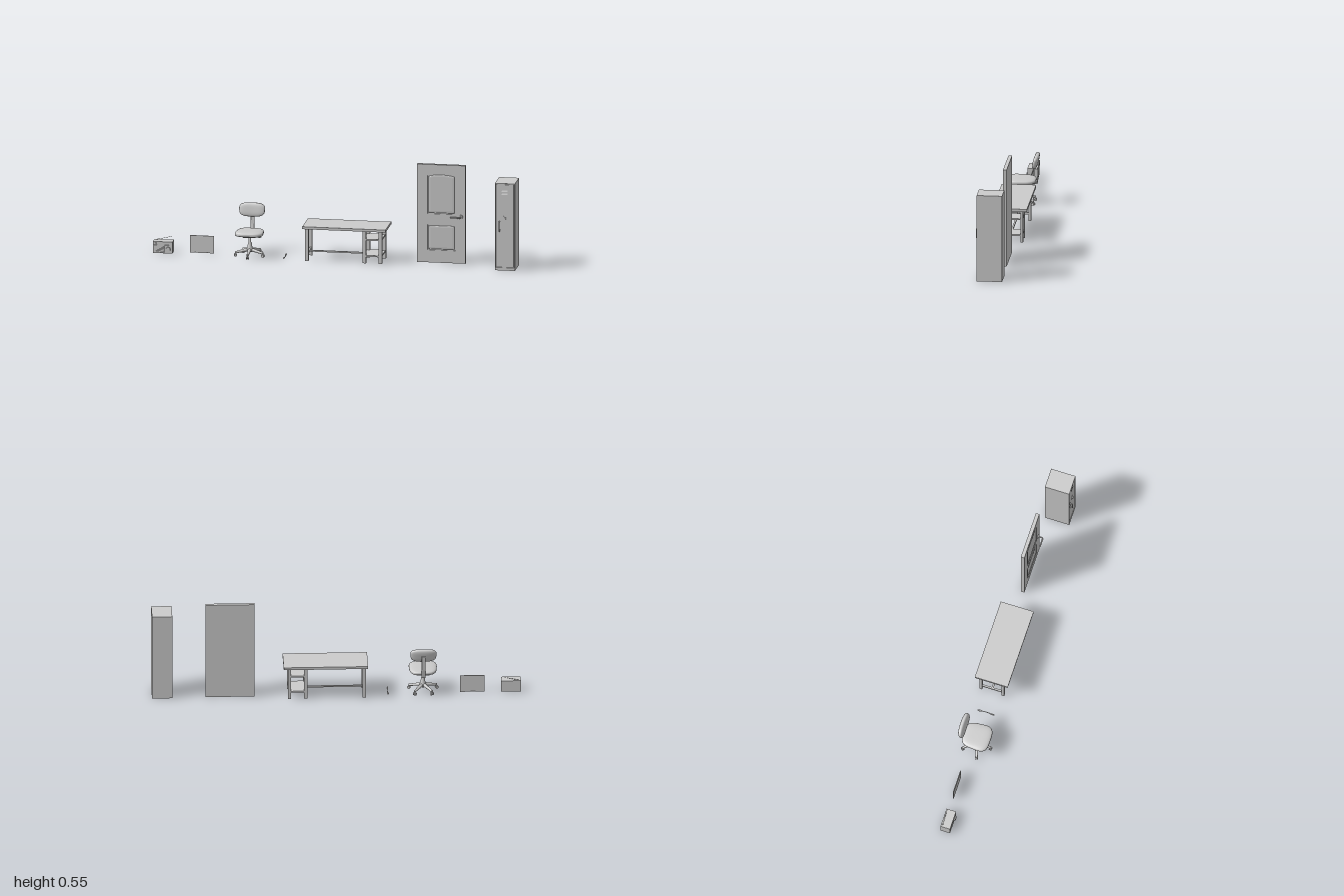
import * as THREE from 'three';
import { RoundedBoxGeometry } from 'three/addons/geometries/RoundedBoxGeometry.js';

const grey = new THREE.MeshStandardMaterial({ color: 0xcccccc });

function add(parent, name, geo, x = 0, y = 0, z = 0) {
  const m = new THREE.Mesh(geo, grey);
  m.name = name;
  m.position.set(x, y, z);
  parent.add(m);
  return m;
}

// Box given by its lower and upper corners
function box(parent, name, [x0, y0, z0], [x1, y1, z1]) {
  return add(parent, name, new THREE.BoxGeometry(x1 - x0, y1 - y0, z1 - z0),
    (x0 + x1) / 2, (y0 + y1) / 2, (z0 + z1) / 2);
}

// Tapered round bar between two points
function bar(parent, name, a, b, ra, rb = ra, sides = 12) {
  const p = new THREE.Vector3(...a), q = new THREE.Vector3(...b), d = q.clone().sub(p);
  const m = add(parent, name, new THREE.CylinderGeometry(rb, ra, d.length(), sides));
  m.position.copy(p).addScaledVector(d, 0.5);
  m.quaternion.setFromUnitVectors(new THREE.Vector3(0, 1, 0), d.normalize());
  return m;
}

function tube(parent, name, pts, r, seg = 20) {
  const curve = new THREE.CatmullRomCurve3(pts.map((p) => new THREE.Vector3(...p)), false, 'catmullrom', 0.2);
  return add(parent, name, new THREE.TubeGeometry(curve, seg, r, 8));
}

// Rectangle outline whose top may rise in an arch
function outline(Type, x0, y0, x1, y1, arch = 0) {
  const s = new Type();
  s.moveTo(x0, y0);
  s.lineTo(x1, y0);
  s.lineTo(x1, y1 - arch);
  if (arch) s.bezierCurveTo(x1 - 0.015, y1, x0 + 0.015, y1, x0, y1 - arch);
  else s.lineTo(x0, y1);
  s.closePath();
  return s;
}

function slab(parent, name, shape, z, depth, bevel = 0) {
  return add(parent, name, new THREE.ExtrudeGeometry(shape, {
    depth, bevelEnabled: bevel > 0, bevelThickness: bevel * 0.3, bevelSize: bevel,
    bevelOffset: -bevel, bevelSegments: 2, curveSegments: 10,
  }), 0, 0, z);
}

// Soft cushion: a sphere squared off, then adjusted by a rule
function cushion(w, h, d, power, rule) {
  const g = new THREE.SphereGeometry(1, 40, 28), p = g.attributes.position;
  const v = new THREE.Vector3();
  for (let i = 0; i < p.count; i++) {
    v.fromBufferAttribute(p, i);
    const n = (Math.abs(v.x) ** power + Math.abs(v.y) ** power + Math.abs(v.z) ** power) ** (1 / power);
    v.divideScalar(n);
    rule(v);
    p.setXYZ(i, v.x * w / 2, v.y * h / 2, v.z * d / 2);
  }
  g.computeVertexNormals();
  return g;
}

function group(parent, name) {
  const g = new THREE.Group();
  g.name = name;
  parent.add(g);
  return g;
}

function buildRadio(root) {
  const g = group(root, 'radio');
  box(g, 'radioCase', [-1, 0, -0.03], [-0.893, 0.064, 0.02]);
  slab(g, 'radioFrontRim', (() => {
    const s = outline(THREE.Shape, -1, 0, -0.893, 0.064);
    s.holes.push(outline(THREE.Path, -0.995, 0.005, -0.935, 0.04),
      outline(THREE.Path, -0.995, 0.045, -0.898, 0.059));
    return s;
  })(), 0.02, 0.004);
  for (let i = 0; i < 5; i++) {
    box(g, 'speakerSlat', [-0.992, 0.009 + i * 0.006, 0.02], [-0.938, 0.012 + i * 0.006, 0.023]);
  }
  bar(g, 'tuningKnob', [-0.916, 0.023, 0.022], [-0.916, 0.023, 0.031], 0.013, 0.012, 24);
  bar(g, 'volumeKnob', [-0.985, 0.052, 0.02], [-0.985, 0.052, 0.027], 0.005, 0.005, 16);
  bar(g, 'antenna', [-0.985, 0.065, -0.022], [-0.903, 0.085, -0.022], 0.0014, 0.0009, 8);
  add(g, 'antennaPivot', new THREE.SphereGeometry(0.003, 10, 8), -0.985, 0.065, -0.022);
}

function buildBoard(root) {
  const g = group(root, 'board');
  box(g, 'boardPanel', [-0.802, 0.001, -0.0225], [-0.674, 0.095, -0.0195]);
  const s = outline(THREE.Shape, -0.804, 0, -0.672, 0.096);
  s.holes.push(outline(THREE.Path, -0.802, 0.002, -0.674, 0.094));
  slab(g, 'boardFrame', s, -0.0235, 0.005);
}

function buildChair(root) {
  const g = group(root, 'officeChair');
  g.position.set(-0.471, 0, 0.004);
  // Seat narrows to the back and has a flat underside
  add(g, 'seat', cushion(0.16, 0.032, 0.152, 3.6, (v) => {
    v.x *= 0.93 + 0.07 * v.z;
    v.y = v.y < 0 ? v.y * 0.8 : v.y + 0.12 * v.y * v.z;
  }), 0, 0.13, 0.002);
  box(g, 'seatPlate', [-0.035, 0.109, -0.045], [0.035, 0.118, 0.035]);
  const back = add(g, 'backrest', cushion(0.145, 0.076, 0.028, 3.2, (v) => {
    v.x *= 0.97 + 0.03 * v.y;
    v.z += 0.3 * v.x * v.x - 0.1;
  }), 0, 0.241, -0.073);
  back.rotation.x = -0.22;
  // Flat bar that carries the backrest
  const arm = [[0.112, -0.02], [0.114, -0.078], [0.16, -0.086], [0.24, -0.091]];
  for (let i = 0; i < 3; i++) {
    const [y0, z0] = arm[i], [y1, z1] = arm[i + 1], len = Math.hypot(y1 - y0, z1 - z0);
    const m = add(g, 'backBar', new RoundedBoxGeometry(0.022, len + 0.007, 0.008, 2, 0.003),
      0, (y0 + y1) / 2, (z0 + z1) / 2);
    m.rotation.x = Math.atan2(z1 - z0, y1 - y0);
  }
  const profile = [[0, 0.024], [0.014, 0.024], [0.018, 0.03], [0.018, 0.043], [0.013, 0.05],
    [0.011, 0.074], [0.007, 0.078], [0.007, 0.112], [0, 0.112]];
  add(g, 'column', new THREE.LatheGeometry(profile.map((p) => new THREE.Vector2(...p)), 24));
  bar(g, 'heightLever', [0.02, 0.11, 0.01], [0.066, 0.107, 0.01], 0.002);
  // Five star legs with twin-wheel casters
  for (let i = 0; i < 5; i++) {
    const leg = group(g, 'starLeg');
    leg.rotation.y = i * Math.PI * 2 / 5;
    bar(leg, 'legArm', [0, 0.037, 0.01], [0, 0.023, 0.08], 0.0095, 0.006);
    bar(leg, 'casterStem', [0, 0.012, 0.079], [0, 0.026, 0.079], 0.003);
    for (const s of [-1, 1]) {
      bar(leg, 'casterWheel', [s * 0.002, 0.009, 0.079], [s * 0.008, 0.009, 0.079], 0.009, 0.008, 16);
    }
  }
}

function buildTool(root) {
  // Small hand tool lying on the floor, head to the back
  const g = group(root, 'handTool');
  tube(g, 'toolShaft', [[-0.281, 0.004, 0.045], [-0.278, 0.005, 0.01], [-0.278, 0.005, -0.015], [-0.281, 0.005, -0.05]], 0.0022);
  const head = add(g, 'toolHead', new THREE.SphereGeometry(1, 16, 12), -0.28, 0.005, -0.039);
  head.scale.set(0.005, 0.005, 0.014);
  const grip = add(g, 'toolGrip', new THREE.SphereGeometry(1, 16, 12), -0.28, 0.004, 0.03);
  grip.scale.set(0.004, 0.004, 0.015);
}

function buildDesk(root) {
  const g = group(root, 'desk');
  box(g, 'deskTop', [-0.171, 0.182, -0.104], [0.286, 0.196, 0.083]);
  const legX = [-0.15, 0.166, 0.254], legZ = [-0.073, 0.052];
  for (const x of legX) {
    for (const z of legZ) box(g, 'deskLeg', [x - 0.009, 0, z - 0.007], [x + 0.009, 0.182, z + 0.007]);
    box(g, 'topRail', [x - 0.006, 0.168, -0.07], [x + 0.006, 0.182, 0.05]);
  }
  box(g, 'sideStretcher', [-0.155, 0.035, -0.07], [-0.145, 0.045, 0.05]);
  box(g, 'longStretcher', [-0.15, 0.036, -0.015], [0.165, 0.044, -0.006]);
  for (const y of [0.04, 0.13]) box(g, 'shelf', [0.16, y - 0.004, -0.078], [0.26, y + 0.004, 0.057]);
}

function buildDoor(root) {
  const g = group(root, 'door');
  const [x0, x1, h] = [0.442, 0.707, 0.546];
  box(g, 'doorSlab', [x0, 0, -0.041], [x1, h, -0.026]);
  const face = outline(THREE.Shape, x0, 0, x1, h);
  const panels = [[0.5, 0.07, 0.652, 0.21, 0], [0.5, 0.272, 0.652, 0.497, 0.014]];
  for (const [a, b, c, d, arch] of panels) {
    face.holes.push(outline(THREE.Path, a, b, c, d, arch));
    slab(g, 'raisedPanel', outline(THREE.Shape, a + 0.005, b + 0.005, c - 0.005, d - 0.005, arch), -0.027, 0.002, 0.01);
  }
  slab(g, 'doorFace', face, -0.026, 0.005);
  // Lever handle
  bar(g, 'handleRose', [0.682, 0.26, -0.021], [0.682, 0.26, -0.015], 0.011, 0.01, 20);
  tube(g, 'leverHandle', [[0.682, 0.26, -0.02], [0.682, 0.26, 0.002], [0.676, 0.26, 0.007], [0.66, 0.261, 0.007], [0.63, 0.26, 0.007]], 0.004, 30);
  add(g, 'leverTip', new THREE.SphereGeometry(0.004, 10, 8), 0.63, 0.26, 0.007);
}

function buildLocker(root) {
  const g = group(root, 'locker');
  const [x0, x1, h] = [0.887, 0.997, 0.485];
  box(g, 'lockerBody', [x0, 0, -0.048], [x1, h, 0.083]);
  const rim = outline(THREE.Shape, x0, 0, x1, h);
  rim.holes.push(outline(THREE.Path, x0 + 0.005, 0.016, x1 - 0.005, h - 0.005));
  slab(g, 'lockerFrame', rim, 0.083, 0.007);
  box(g, 'lockerDoor', [x0 + 0.007, 0.018, 0.083], [x1 - 0.007, h - 0.007, 0.087]);
  // Raised vents, latch and pull
  for (const y of [0.425, 0.442]) {
    const vent = box(g, 'vent', [0.925, y - 0.004, 0.085], [0.957, y + 0.004, 0.089]);
    vent.rotation.x = -0.35;
  }
  box(g, 'latchPlate', [0.935, 0.278, 0.086], [0.953, 0.302, 0.091]);
  bar(g, 'latchKnob', [0.944, 0.291, 0.09], [0.944, 0.291, 0.097], 0.006, 0.005, 16);
  tube(g, 'pullHandle', [[0.912, 0.22, 0.086], [0.912, 0.22, 0.098], [0.912, 0.224, 0.1], [0.912, 0.268, 0.1], [0.912, 0.272, 0.098], [0.912, 0.272, 0.086]], 0.0035, 40);
  for (const y of [0.22, 0.272]) box(g, 'pullMount', [0.907, y - 0.006, 0.086], [0.917, y + 0.006, 0.09]);
}

export function createModel() {
  const root = new THREE.Group();
  root.name = 'officeSet';
  [buildRadio, buildBoard, buildChair, buildTool, buildDesk, buildDoor, buildLocker].forEach((build) => build(root));
  return root;
}
